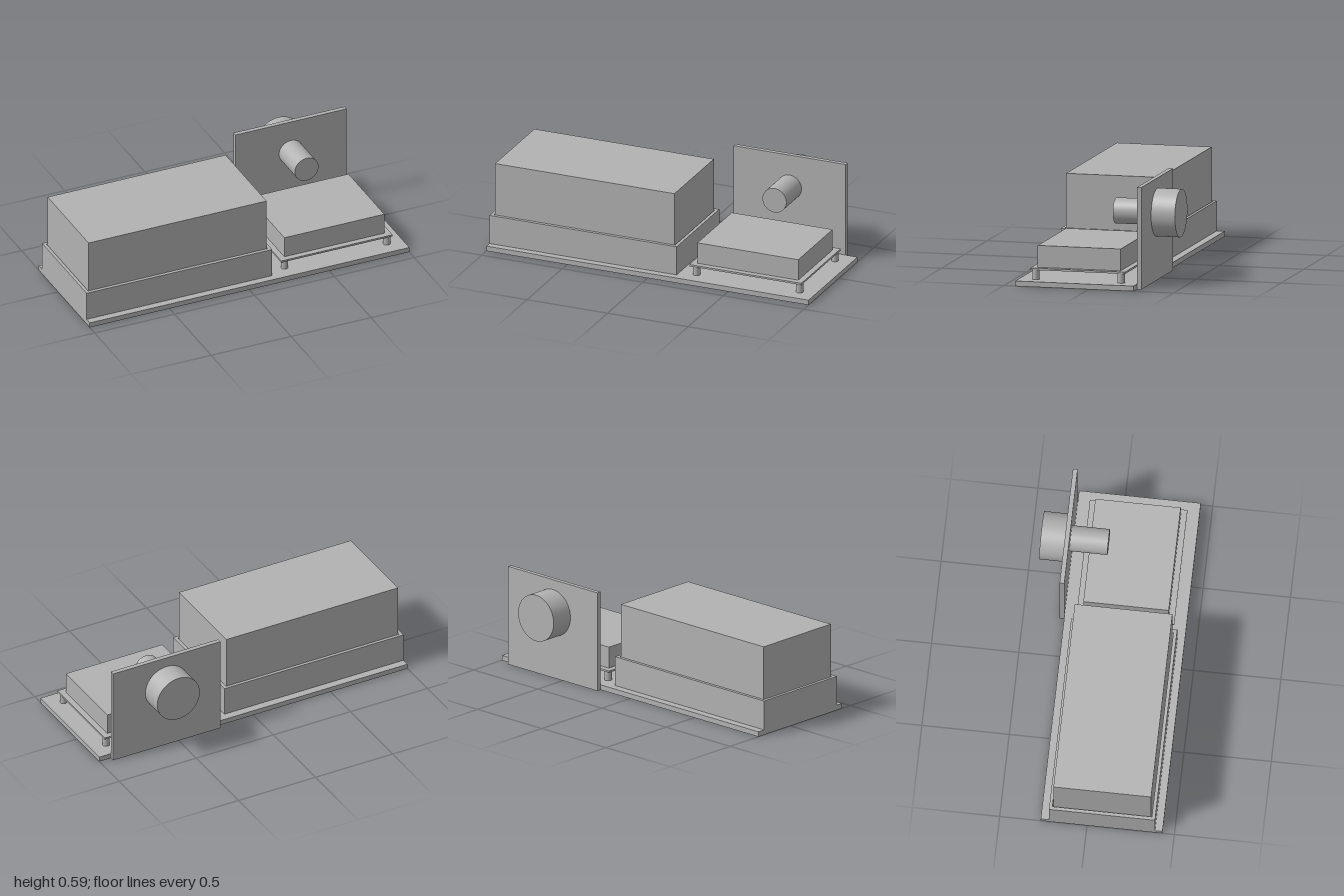
import * as THREE from 'three';

export function createModel() {
  const model = new THREE.Group();
  model.name = 'motorAssembly';
  const grey = new THREE.MeshStandardMaterial({ color: 0xb2b2b2 });
  grey.name = 'plain grey';

  const add = (name, geometry) => {
    const mesh = new THREE.Mesh(geometry, grey);
    mesh.name = name;
    model.add(mesh);
    return mesh;
  };
  // Box given by its extents on each axis
  const box = (name, [x0, x1], [y0, y1], [z0, z1]) =>
    add(name, new THREE.BoxGeometry(x1 - x0, y1 - y0, z1 - z0))
      .position.set((x0 + x1) / 2, (y0 + y1) / 2, (z0 + z1) / 2);
  // Cylinder lying along z
  const zCylinder = (name, r, x, y, z0, z1) =>
    add(name, new THREE.CylinderGeometry(r, r, z1 - z0, 64).rotateX(Math.PI / 2))
      .position.set(x, y, (z0 + z1) / 2);
  const rect = (Type, x0, x1, y0, y1) => new Type([
    new THREE.Vector2(x0, y0), new THREE.Vector2(x1, y0),
    new THREE.Vector2(x1, y1), new THREE.Vector2(x0, y1),
  ]);

  box('basePlate', [-1, 1], [0, 0.03], [-0.265, 0.432]);

  // Battery tray: a thin-walled frame around the battery, with a floor
  const frame = rect(THREE.Shape, -1, 0.162, -0.389, 0.218);
  frame.holes.push(rect(THREE.Path, -0.981, 0.143, -0.369, 0.2));
  const tray = new THREE.ExtrudeGeometry(frame, { depth: 0.173, bevelEnabled: false });
  add('batteryTray', tray.rotateX(-Math.PI / 2)).position.y = 0.03;
  box('trayFloor', [-0.981, 0.143], [0.03, 0.05], [-0.2, 0.369]);
  box('battery', [-0.976, 0.138], [0.05, 0.517], [-0.195, 0.364]);

  // Circuit board raised on four standoffs
  box('circuitBoard', [0.23, 0.926], [0.085, 0.096], [-0.195, 0.364]);
  box('controllerBox', [0.265, 0.891], [0.096, 0.222], [-0.16, 0.329]);
  for (const x of [0.263, 0.903]) {
    for (const z of [-0.167, 0.336]) {
      add('standoff', new THREE.CylinderGeometry(0.021, 0.021, 0.055, 32))
        .position.set(x, 0.0575, z);
    }
  }

  // Upright bracket holding the motor, its shaft pointing forward
  box('motorBracket', [0.23, 0.926], [0, 0.588], [-0.292, -0.265]);
  zCylinder('motorBody', 0.138, 0.578, 0.391, -0.432, -0.292);
  zCylinder('motorShaft', 0.074, 0.578, 0.391, -0.265, -0.049);

  return model;
}
